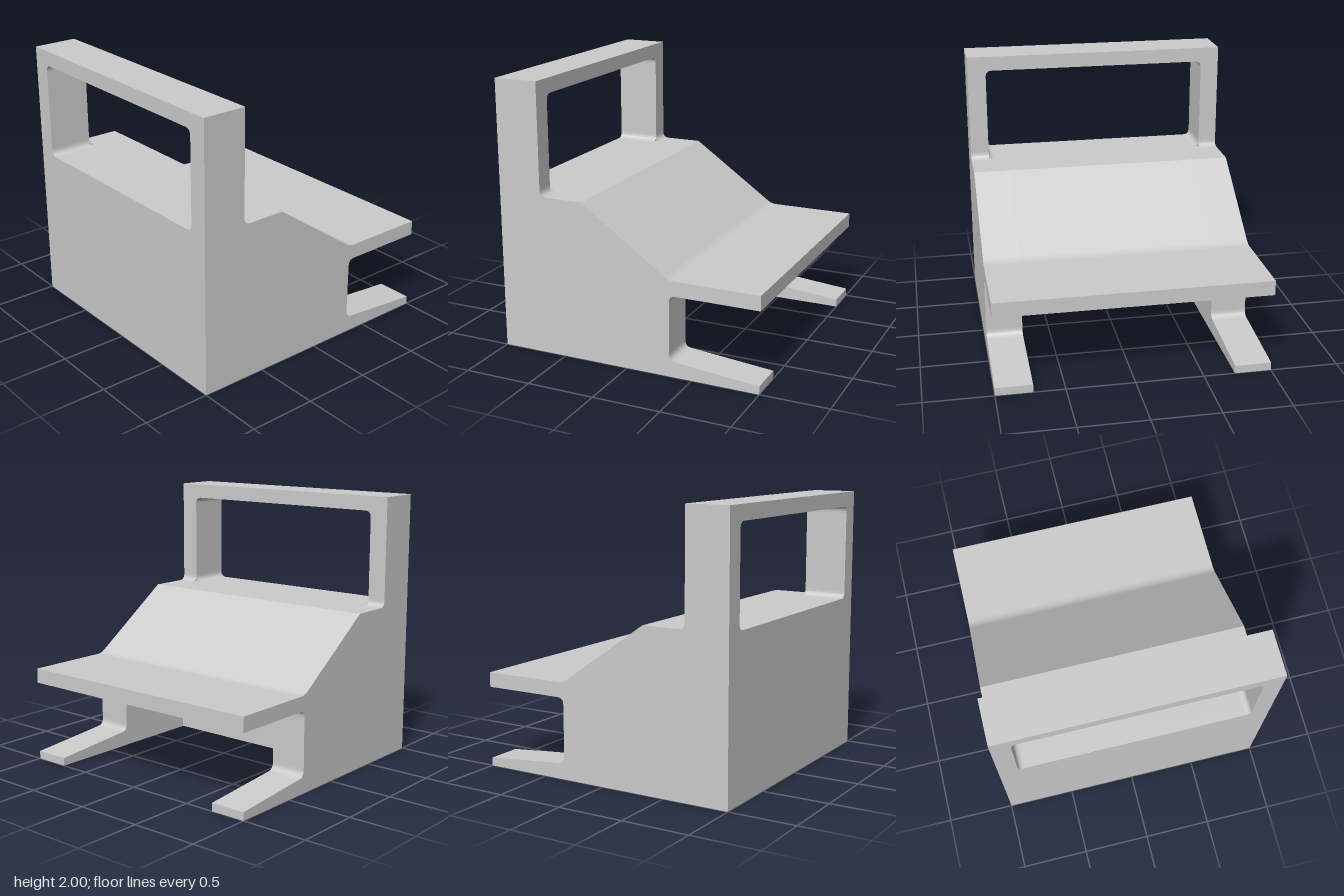
import * as THREE from 'three';

const material = new THREE.MeshStandardMaterial({ color: 0xcccccc });

// Traces a closed outline of [u, v, r] corners; r rounds a corner.
function outline(points, target = new THREE.Shape()) {
  const n = points.length;
  points.forEach(([u, v, r = 0], i) => {
    const corner = new THREE.Vector2(u, v);
    const toward = ([a, b]) =>
      new THREE.Vector2(a, b).sub(corner).setLength(r).add(corner);
    const start = r ? toward(points[(i + n - 1) % n]) : corner;
    if (i === 0) target.moveTo(start.x, start.y);
    else target.lineTo(start.x, start.y);
    if (r) {
      const end = toward(points[(i + 1) % n]);
      target.quadraticCurveTo(u, v, end.x, end.y);
    }
  });
  target.closePath();
  return target;
}

function addMesh(group, name, geometry) {
  const mesh = new THREE.Mesh(geometry, material);
  mesh.name = name;
  group.add(mesh);
}

// Extrudes a (z, y) profile across the width from x0 to x1.
function acrossWidth(shape, x0, x1) {
  return new THREE.ExtrudeGeometry(shape, { depth: x1 - x0, bevelEnabled: false, curveSegments: 6 })
    .rotateY(-Math.PI / 2)
    .translate(x1, 0, 0);
}

export function createModel() {
  const group = new THREE.Group();
  const round = 0.05;
  const pocketX = 0.73; // half width of the pocket between the legs
  const windowX = 0.86;
  const panelZ = 0.67;
  const deckY = 1.18;

  // Upright front panel with its window
  const panel = outline([[-1, 0], [1, 0], [1, 2], [-1, 2]]);
  panel.holes.push(outline([
    [-windowX, deckY, round], [-windowX, 1.89, round],
    [windowX, 1.89, round], [windowX, deckY, round],
  ], new THREE.Path()));
  addMesh(group, 'frontPanel',
    new THREE.ExtrudeGeometry(panel, { depth: 1 - panelZ, bevelEnabled: false, curveSegments: 6 })
      .translate(0, 0, panelZ));

  // Deck, slope and rear shelf shared by the middle and the sides
  const topEdge = [[-1, 0.6], [-1, 0.71], [-0.33, 0.71, 0.04], [0.34, deckY], [panelZ, deckY]];

  // Middle of the body, open underneath behind the front wall
  const middle = outline([[panelZ, 0], [0.34, 0], [0.34, 0.6, round], ...topEdge]);
  addMesh(group, 'middleBody', acrossWidth(middle, -pocketX, pocketX));

  // Sides with the rear cut-out and tapered feet
  const side = outline([
    [panelZ, 0], [-1, 0], [-1, 0.06], [-0.33, 0.12, round], [-0.33, 0.6, round], ...topEdge,
  ]);
  addMesh(group, 'leftSide', acrossWidth(side, pocketX, 1));
  addMesh(group, 'rightSide', acrossWidth(side, -1, -pocketX));

  // Small fillets where the window posts meet the deck
  const fillet = new THREE.Shape();
  fillet.moveTo(panelZ, deckY);
  fillet.lineTo(panelZ, deckY + round);
  fillet.quadraticCurveTo(panelZ, deckY, panelZ - round, deckY);
  fillet.closePath();
  addMesh(group, 'leftPostFillet', acrossWidth(fillet, windowX, 1));
  addMesh(group, 'rightPostFillet', acrossWidth(fillet, -1, -windowX));

  return group;
}
